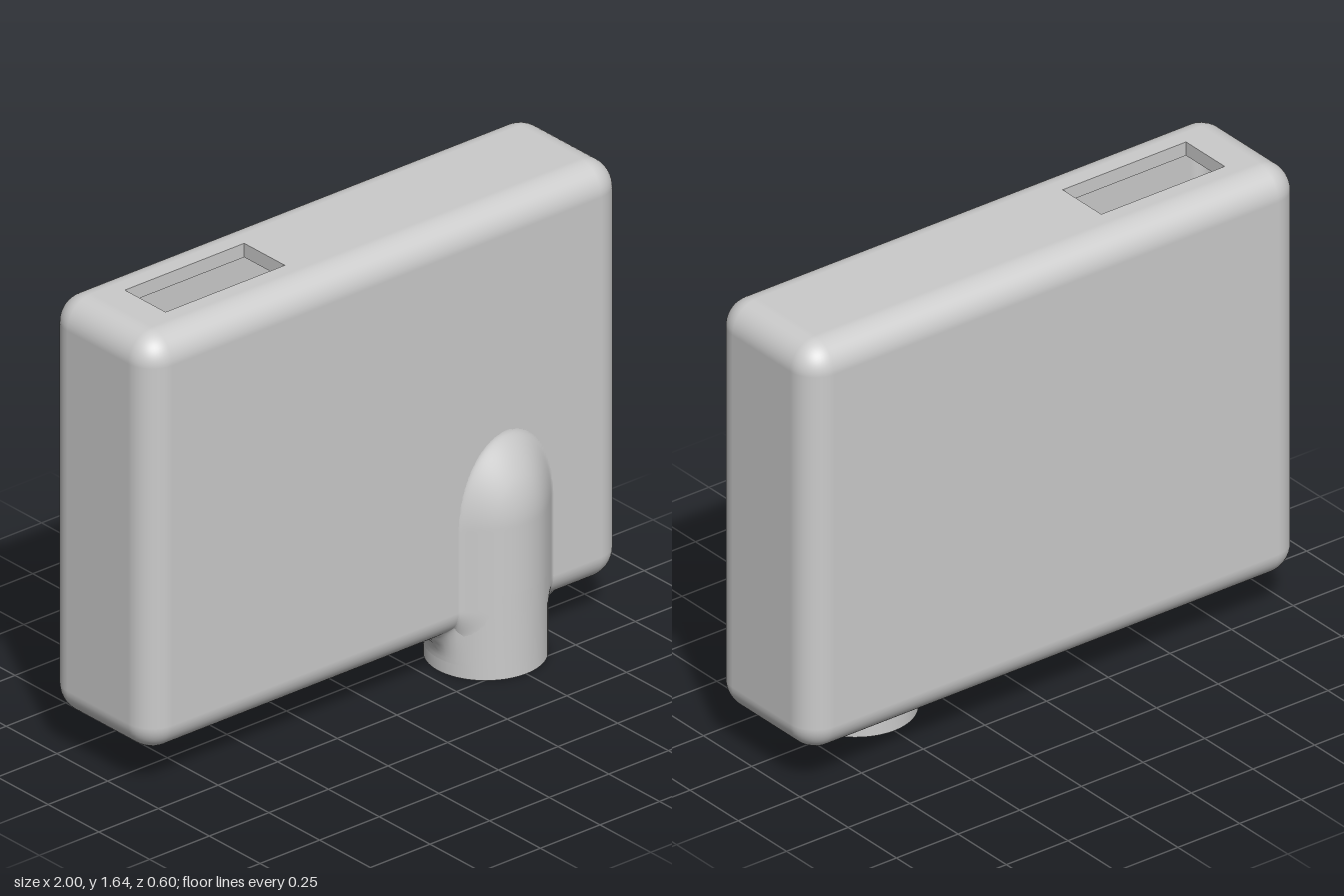
import * as THREE from 'three';
import { mergeVertices, toCreasedNormals } from 'three/addons/utils/BufferGeometryUtils.js';
import { RoundedBoxGeometry } from 'three/addons/geometries/RoundedBoxGeometry.js';

const BOTTOM = 0.145, TOP = 1.64, FRONT = 0.2, MID_Z = -0.05;
const WALL = 0.05, ROUND = 0.1;
const PIPE_X = 0.5, PIPE_Z = 0.1, PIPE_R = 0.2;

const grey = new THREE.MeshStandardMaterial({ color: 0xcccccc });
const greyInside = new THREE.MeshStandardMaterial({ color: 0xcccccc, side: THREE.BackSide });
const greyBoth = new THREE.MeshStandardMaterial({ color: 0xcccccc, side: THREE.DoubleSide });

function add(group, name, geometry, material, x = 0, y = 0, z = 0) {
  const mesh = new THREE.Mesh(geometry, material);
  mesh.name = name;
  mesh.position.set(x, y, z);
  group.add(mesh);
}

// Rounded box with the flat parts of its top and bottom left open
function openRoundedBox(w, h, d, radius) {
  const box = new RoundedBoxGeometry(w, h, d, 6, radius);
  const p = box.attributes.position, n = box.attributes.normal;
  const pos = [], nor = [];
  for (let i = 0; i < p.count; i += 3) {
    const corners = [i, i + 1, i + 2];
    if (corners.every(k => Math.abs(p.getY(k)) > h / 2 - 1e-5)) continue;
    for (const k of corners) {
      pos.push(p.getX(k), p.getY(k), p.getZ(k));
      nor.push(n.getX(k), n.getY(k), n.getZ(k));
    }
  }
  const g = new THREE.BufferGeometry();
  g.setAttribute('position', new THREE.Float32BufferAttribute(pos, 3));
  g.setAttribute('normal', new THREE.Float32BufferAttribute(nor, 3));
  return g;
}

// Horizontal plate with a rectangular slot, filling an open end of the case
function slottedPlate(x0, x1, z0, z1) {
  const rect = (s, a, b, c, d) => s.moveTo(a, -d).lineTo(b, -d).lineTo(b, -c).lineTo(a, -c).closePath();
  const shape = new THREE.Shape();
  rect(shape, -0.9, 0.9, -0.2, 0.1);
  const hole = new THREE.Path();
  rect(hole, x0, x1, z0, z1);
  shape.holes.push(hole);
  return new THREE.ExtrudeGeometry(shape, { depth: WALL, bevelEnabled: false }).rotateX(-Math.PI / 2);
}

// Domed half-round swelling that blends softly into the front of the case
function swelling() {
  const w = 0.64, y0 = BOTTOM + 0.001, h = 0.78, k = 0.07;
  const g = new THREE.PlaneGeometry(w, h, 80, 90);
  g.translate(0, y0 + h / 2, 0);
  const p = g.attributes.position;
  for (let i = 0; i < p.count; i++) {
    const x = p.getX(i), y = p.getY(i);
    const drop = Math.max(0, BOTTOM + ROUND - y);
    const face = FRONT - ROUND + Math.sqrt(Math.max(0, ROUND ** 2 - drop ** 2));
    const up = Math.max(0, y - 0.54) / 0.3;
    const bump = PIPE_Z + PIPE_R * Math.sqrt(Math.max(0, 1 - (x / PIPE_R) ** 2 - up ** 2));
    const blend = Math.max(k - Math.abs(bump - face), 0) / k;
    p.setZ(i, Math.max(bump, face) + blend * blend * k / 4 - 0.0005);
  }
  g.computeVertexNormals();
  return g;
}

// Concave collar between pipe and underside, fading out towards the front
function collar() {
  const points = [];
  for (let i = 0; i <= 12; i++) points.push(new THREE.Vector2(PIPE_R, i / 12));
  let g = new THREE.LatheGeometry(points, 64);
  const p = g.attributes.position;
  for (let i = 0; i < p.count; i++) {
    const s = p.getZ(i) / PIPE_R, t = p.getY(i) * Math.PI / 2;
    const fade = 1 - THREE.MathUtils.smoothstep(s, 0, 0.5);
    const reach = Math.min(ROUND, Math.max(0, s) * (PIPE_R + ROUND * fade));
    const lift = ROUND - Math.sqrt(ROUND ** 2 - reach ** 2);
    const scale = 1 + ROUND * fade * (1 - Math.cos(t)) / PIPE_R;
    p.setXYZ(i, p.getX(i) * scale, 0.045 + (ROUND + lift) * Math.sin(t), p.getZ(i) * scale);
  }
  g.deleteAttribute('uv');
  g.deleteAttribute('normal');
  g = mergeVertices(g, 1e-5);
  g.computeVertexNormals();
  return g;
}

export function createModel() {
  const model = new THREE.Group();
  const height = TOP - BOTTOM, midY = (TOP + BOTTOM) / 2;

  // Hollow case
  add(model, 'caseShell', openRoundedBox(2, height, 0.5, ROUND), grey, 0, midY, MID_Z);
  add(model, 'caseLining', openRoundedBox(2 - 2 * WALL, height - 2 * WALL, 0.5 - 2 * WALL, ROUND - WALL),
    greyInside, 0, midY, MID_Z);
  add(model, 'topPlate', slottedPlate(-0.8, -0.3, -0.15, 0.05), grey, 0, TOP - WALL, 0);
  add(model, 'bottomPlate', slottedPlate(-0.7, 0.1, -0.15, 0), grey, 0, BOTTOM, 0);

  // Ribs and shelf inside, under the top slot
  for (let i = 0; i < 5; i++) {
    add(model, 'innerRib', new THREE.BoxGeometry(0.018, 0.1, 0.16), grey, -0.495 + i * 0.04, 0.8, -0.07);
  }
  add(model, 'innerShelf', new THREE.BoxGeometry(0.6, 0.03, 0.4), grey, -0.1, 0.6, MID_Z);

  // Pipe with a slightly recessed end
  const pipeProfile = [[0, 0.012], [0.185, 0.012], [0.185, 0], [PIPE_R, 0], [PIPE_R, 0.3]]
    .map(([r, y]) => new THREE.Vector2(r, y));
  add(model, 'pipe', toCreasedNormals(new THREE.LatheGeometry(pipeProfile, 64), 0.6), grey, PIPE_X, 0, PIPE_Z);
  add(model, 'pipeCollar', collar(), grey, PIPE_X, 0, PIPE_Z);
  add(model, 'pipeSwelling', swelling(), greyBoth, PIPE_X, 0, 0);
  return model;
}
